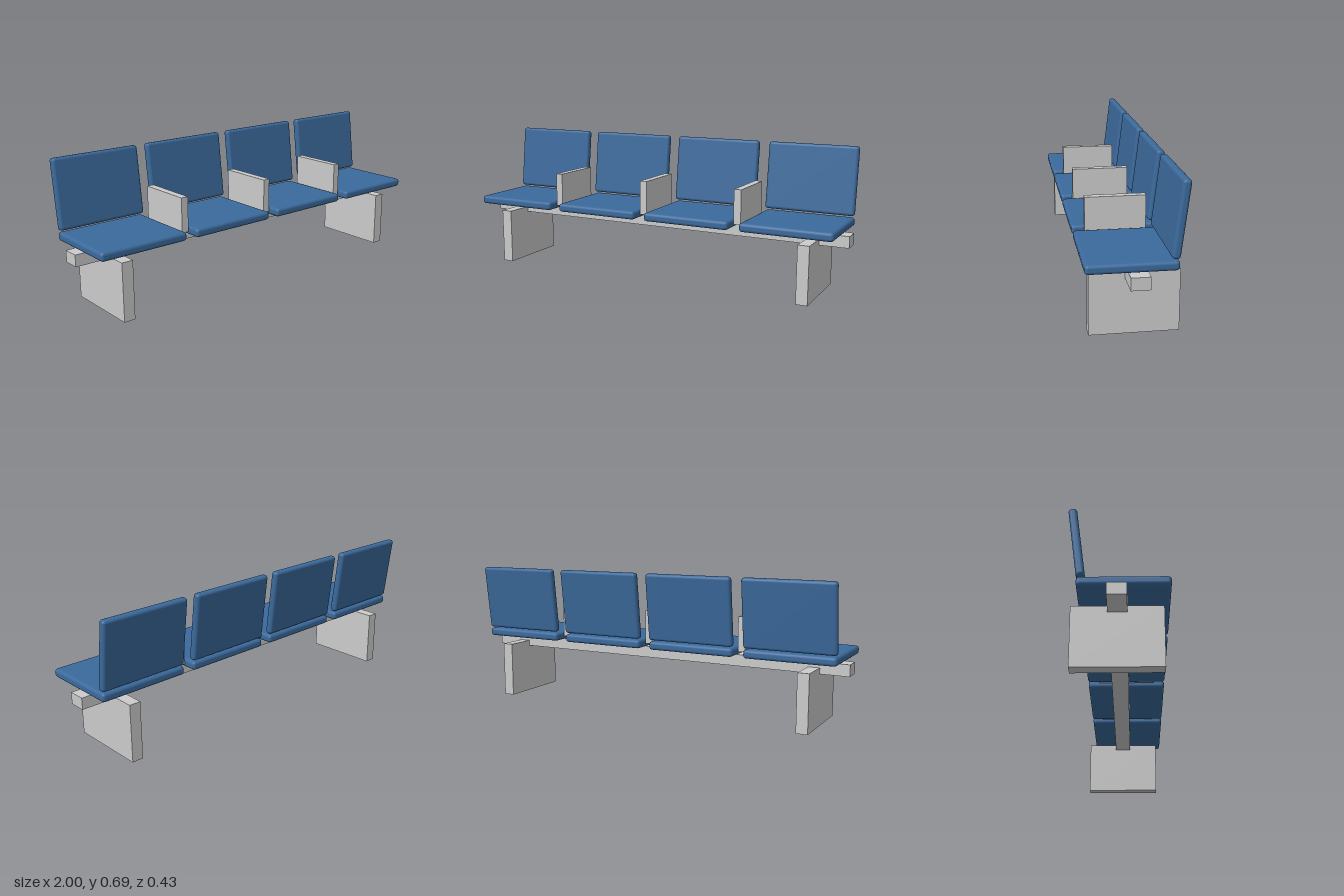
import * as THREE from 'three';
import { RoundedBoxGeometry } from 'three/addons/geometries/RoundedBoxGeometry.js';

const grey = new THREE.MeshStandardMaterial({ color: 0xcccccc });
const blue = new THREE.MeshStandardMaterial({ color: 0x3b6a9c });

export function createModel() {
  const group = new THREE.Group();

  const add = (name, geometry, material, x, y, z) => {
    const mesh = new THREE.Mesh(geometry, material);
    mesh.name = name;
    mesh.position.set(x, y, z);
    group.add(mesh);
    return mesh;
  };

  // Long beam carrying the seats
  add('beam', new THREE.BoxGeometry(2, 0.056, 0.083), grey, 0, 0.279, -0.008);

  // Slab legs near both ends
  const legGeometry = new THREE.BoxGeometry(0.056, 0.28, 0.39);
  for (const side of [-1, 1]) {
    add(side > 0 ? 'leftLeg' : 'rightLeg', legGeometry, grey, side * 0.832, 0.14, -0.008);
  }

  // Four padded seats with reclined backs
  const seatGeometry = new RoundedBoxGeometry(0.445, 0.042, 0.389, 3, 0.015);
  const backGeometry = new RoundedBoxGeometry(0.445, 0.332, 0.037, 3, 0.014);
  [-0.75, -0.25, 0.25, 0.75].forEach((x, i) => {
    add(`seat${i + 1}`, seatGeometry, blue, x, 0.335, 0.02);
    const back = add(`backrest${i + 1}`, backGeometry, blue, x, 0.528, -0.176);
    back.rotation.x = -0.12;
  });

  // Armrest dividers between the seats
  const armGeometry = new THREE.BoxGeometry(0.036, 0.168, 0.279);
  [-0.5, 0, 0.5].forEach((x, i) => {
    add(`armrest${i + 1}`, armGeometry, grey, x, 0.419, 0.02);
  });

  return group;
}
